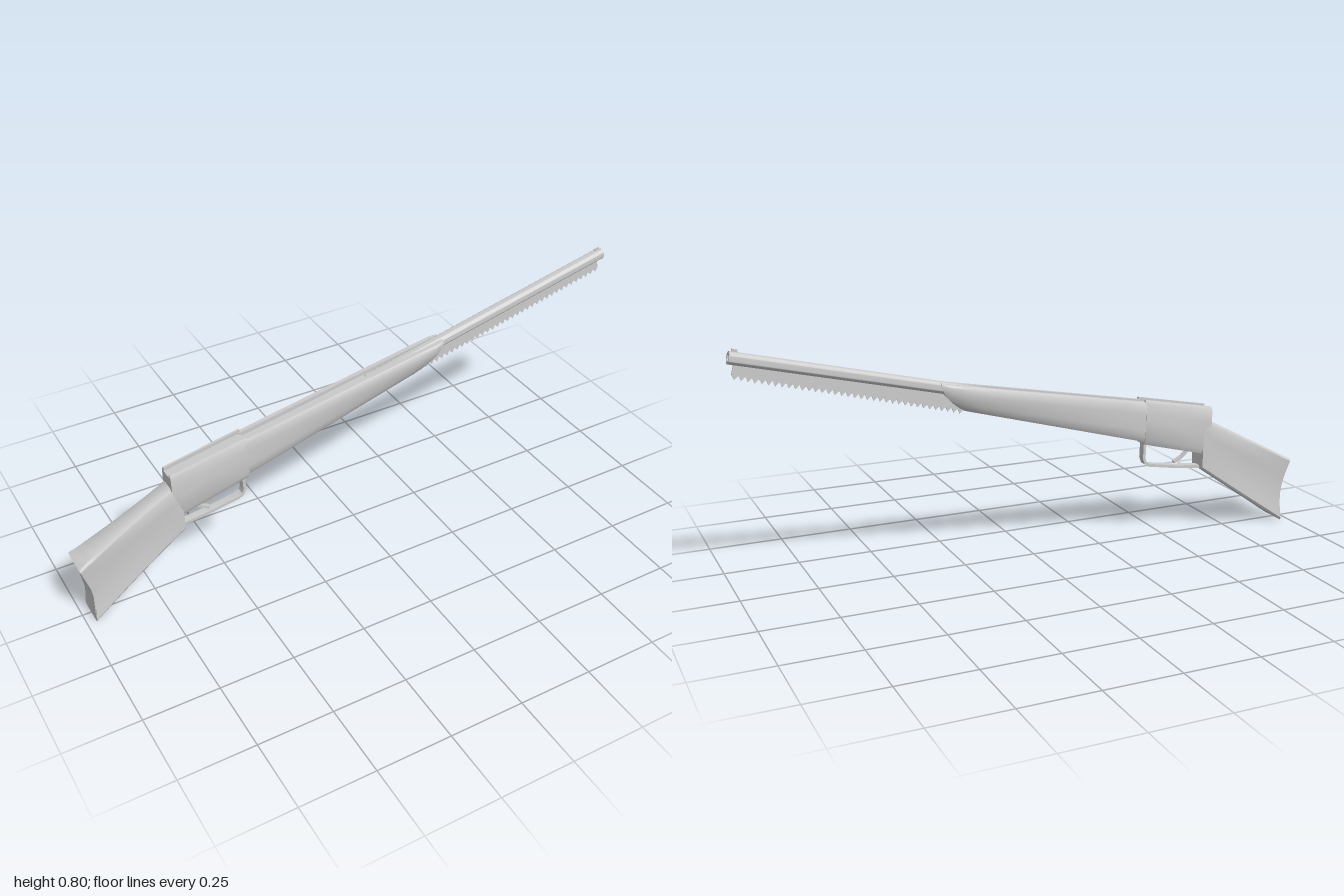
import * as THREE from 'three';
import { toCreasedNormals } from 'three/addons/utils/BufferGeometryUtils.js';

const lerp = THREE.MathUtils.lerp;
const material = new THREE.MeshStandardMaterial({ color: 0xcccccc });

function add(parent, geometry, name, crease = 0.6) {
  const mesh = new THREE.Mesh(toCreasedNormals(geometry, crease), material);
  mesh.name = name;
  parent.add(mesh);
  return mesh;
}

// Skins a row of mirrored sections; each is a list of [x, y, z] from top to bottom on the +z side
function loft(sections) {
  const rings = sections.map(s => [...s, ...s.slice().reverse().map(([x, y, z]) => [x, y, -z])]);
  const n = rings[0].length, index = [];
  for (let k = 0; k < rings.length - 1; k++) {
    for (let i = 0; i < n; i++) {
      const j = (i + 1) % n, a = k * n + i, b = k * n + j;
      index.push(a, b, b + n, a, b + n, a + n);
    }
  }
  // End caps, turned to face outwards
  for (const [k, dir] of [[0, -1], [rings.length - 1, 1]]) {
    const flat = rings[k].map(p => new THREE.Vector2(-p[2], p[1]));
    for (const [a, b, c] of THREE.ShapeUtils.triangulateShape(flat, [])) {
      const area = THREE.ShapeUtils.area([flat[a], flat[b], flat[c]]) * dir;
      index.push(...(area > 0 ? [a, b, c] : [a, c, b]).map(i => i + k * n));
    }
  }
  const g = new THREE.BufferGeometry();
  g.setAttribute('position', new THREE.Float32BufferAttribute(rings.flat(2), 3));
  g.setIndex(index);
  return g;
}

// Centred extrusion of a side outline
function plate(points, width) {
  const shape = new THREE.Shape(points.map(p => new THREE.Vector2(...p)));
  return new THREE.ExtrudeGeometry(shape, { depth: width, bevelEnabled: false }).translate(0, 0, -width / 2);
}

// Flat strip bent along a path in the side plane
function strip(path, thickness, width) {
  const v = path.map(p => new THREE.Vector2(...p));
  const side = s => v.map((p, i) => {
    const d = v[Math.min(i + 1, v.length - 1)].clone().sub(v[Math.max(i - 1, 0)]).normalize();
    return [p.x - d.y * s, p.y + d.x * s];
  });
  return plate([...side(-thickness / 2), ...side(thickness / 2).reverse()], width);
}

export function createModel() {
  const model = new THREE.Group();
  model.name = 'rifle';

  // Shoulder stock, flaring towards a hollowed butt
  const stock = [];
  for (let k = 0; k <= 10; k++) {
    const t = k / 10, flare = (1 - t) ** 2;
    stock.push([[0, 0.55], [0.03, 0.85], [0.09, 1], [0.25, 1], [0.4, 1], [0.55, 1], [0.7, 1], [0.85, 1], [0.96, 1], [1, 0.88]].map(([f, w]) => {
      const hollow = Math.sin(Math.PI * f);
      const z = 0.036 + 0.019 * flare * (1 - 0.5 * hollow) - 0.004 * hollow * Math.sin(Math.PI * t);
      return [
        lerp(lerp(-1, -0.97, f), lerp(-0.67, -0.637, Math.min(1, f * 5)), t) + 0.017 * hollow * (1 - t),
        lerp(lerp(0.232, 0.003, f), lerp(0.405, 0.235, f), t),
        z * lerp(f < 0.5 ? Math.min(1, w + 0.35 * flare) : w, w, t)];
    }));
  }
  add(model, loft(stock), 'stock');

  // Receiver with a shallow channel along its top
  const receiver = [0, 0.5, 1].map(t => {
    const top = lerp(0.457, 0.508, t), low = lerp(0.29, 0.35, t), x = lerp(-0.67, -0.405, t);
    const xLow = lerp(-0.638, -0.405, t);
    return [[x, top - 0.012, 0.02], [x, top, 0.02], [x, top, 0.028], [x, top - 0.012, 0.034],
      [x, lerp(0.4, 0.46, t), 0.036], [xLow, lerp(0.38, 0.44, t), 0.037],
      [xLow, low + 0.02, 0.036], [xLow, low, 0.026]];
  });
  add(model, loft(receiver), 'receiver');

  // Fore-end: slotted top, sides pinching to a narrow keel and a raked nose
  const foreEnd = [];
  for (let k = 0; k <= 12; k++) {
    const t = Math.min(1, k / 11), nose = k === 12;
    const xTop = nose ? 0.33 : lerp(-0.41, 0.3, t), xLow = nose ? 0.25 : lerp(-0.41, 0.23, t);
    const top = 0.5 + 0.182 * (xTop + 0.41), low = 0.358 + 0.27 * (xLow + 0.41);
    const slim = nose ? 0.76 : 1;
    const profile = [[0.1, 0.014], [0, 0.014], [0, 0.029], [0.08, 0.035],
      [0.3, 0.036], [0.5, lerp(0.036, 0.031, t)], [0.7, lerp(0.036, 0.025, t)],
      [0.88, lerp(0.034, 0.018, t)], [1, lerp(0.025, 0.012, t)]];
    foreEnd.push(profile.map(([f, z]) => [lerp(xTop, xLow, f * f), lerp(top, low, f), z * slim]));
  }
  add(model, loft(foreEnd), 'foreEnd');

  // Barrel assembly, laid out along its own sloping axis
  const barrelGroup = new THREE.Group();
  barrelGroup.name = 'barrelAssembly';
  barrelGroup.position.set(0.05, 0.555, 0);
  barrelGroup.rotation.z = 0.229;
  model.add(barrelGroup);

  const length = 0.964;
  const bore = [[0, 0], [0.02, 0], [0.02, length], [0.012, length], [0.012, length - 0.08], [0, length - 0.08]];
  const tube = new THREE.LatheGeometry(bore.map(p => new THREE.Vector2(...p)), 32);
  add(barrelGroup, tube.rotateZ(-Math.PI / 2), 'barrel');
  add(barrelGroup, new THREE.BoxGeometry(0.018, 0.012, 0.005).translate(length - 0.016, 0.022, 0), 'frontSight');

  // Saw blade under the barrel
  const teeth = 36, from = 0.19, to = 0.945, pitch = (to - from) / teeth;
  const saw = [[to, -0.016], [from, -0.016]];
  for (let i = 0; i < teeth; i++) {
    const u = from + i * pitch, drop = lerp(0.012, 0, i / teeth);
    saw.push([u, -0.049 - drop], [u + pitch * 0.5, -0.064 - drop]);
  }
  saw.push([to, -0.049]);
  add(barrelGroup, plate(saw, 0.004), 'sawBlade');

  // Trigger guard and trigger
  const guard = [[-0.645, 0.238], [-0.54, 0.25], [-0.435, 0.268], [-0.42, 0.278], [-0.414, 0.295], [-0.416, 0.355]];
  add(model, strip(guard, 0.01, 0.027), 'triggerGuard');
  add(model, strip([[-0.605, 0.32], [-0.585, 0.294], [-0.562, 0.276], [-0.538, 0.265]], 0.009, 0.014), 'trigger');

  return model;
}
